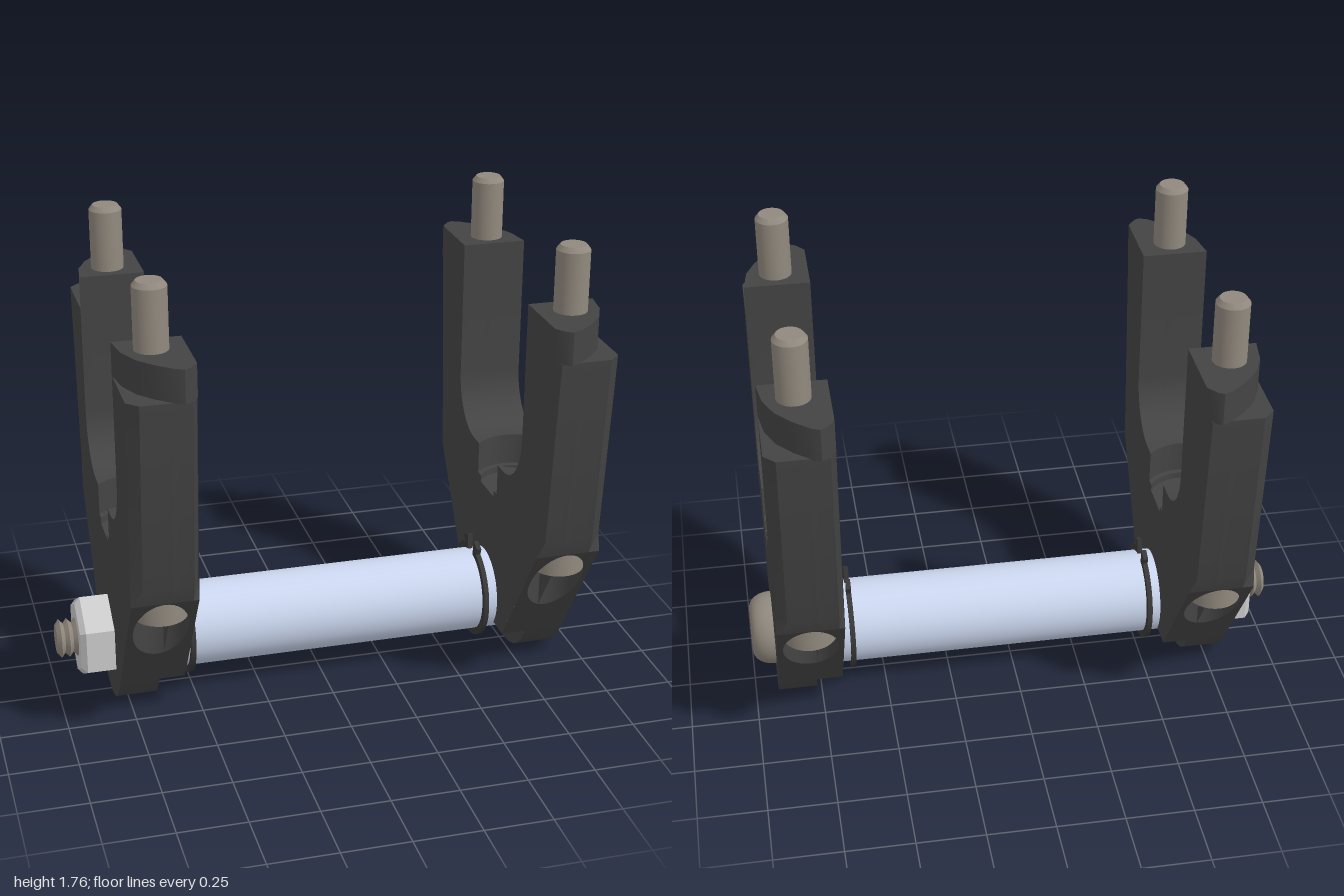
import * as THREE from 'three';
import { toCreasedNormals } from 'three/addons/utils/BufferGeometryUtils.js';

const mat = (color, side = THREE.FrontSide) => new THREE.MeshStandardMaterial({ color, side });
const BLACK = mat(0x444444), BLACK2 = mat(0x444444, THREE.DoubleSide), STEEL = mat(0x91897e);
const NUT = mat(0xc0c0c0), TUBE = mat(0xcad6ee), CLIP = mat(0x383838);
const AXLE_Y = 0.24, HALF = 0.12, BOLT_Z = 0.437, BORE = 0.1;
const slopeY = z => 0.11 + 1.5 * (z - 0.2);

function add(parent, name, geo, material, x = 0, y = 0, z = 0) {
  const m = new THREE.Mesh(geo, material);
  m.name = name;
  m.position.set(x, y, z);
  parent.add(m);
  return m;
}
const creased = (geo, angle = 0.5) => toCreasedNormals(geo, angle);
const lathe = (pts, n = 40) => creased(new THREE.LatheGeometry(pts.map(p => new THREE.Vector2(...p)), n));
const poly = pts => new THREE.Shape(pts.map(p => new THREE.Vector2(...p)));
function ring(n, r) {
  return Array.from({ length: n }, (_, i) => [r * Math.cos(i / n * 2 * Math.PI), r * Math.sin(i / n * 2 * Math.PI)]);
}
// Disc with a hexagonal socket, its open face at y = 0, its body below
function socketDisc(r, hexR, depth) {
  const s = poly(ring(40, r));
  s.holes.push(poly(ring(6, hexR)));
  const g = new THREE.ExtrudeGeometry(s, { depth, bevelEnabled: false });
  return creased(g.translate(0, 0, -depth).rotateX(-Math.PI / 2));
}

// Side outline of the fork plate as (z, y)
function forkOutline(cut) {
  const half = [];
  if (!cut) {
    for (let i = 0; i <= 9; i++) {
      const a = THREE.MathUtils.degToRad(-87 + 54 * i / 9);
      half.push([0.2385 * Math.cos(a), AXLE_Y + 0.2385 * Math.sin(a)]);
    }
  }
  half.push([0.2233, 0.145], [0.54, 0.62], [0.565, 0.69], [0.637, 1.4], [0.345, 1.4]);
  for (let i = 0; i <= 10; i++) {
    const a = i / 10 * Math.PI / 2;
    half.push([0.165 + 0.18 * Math.cos(a), 1 - 0.2 * Math.sin(a)]);
  }
  half.push([0.106, 0.8], [0.106, 0.68], [0.072, 0.68], [0.072, 0.655]);
  return poly([...half, ...half.map(([z, y]) => [-z, y]).reverse()]);
}

// Plate slab: layers at the given x, round notch, chamfered outer edge, slopes left open
function forkSlab(xs, cut) {
  const n = xs.length - 1;
  const g = new THREE.ExtrudeGeometry(forkOutline(cut), { depth: n, steps: n, bevelEnabled: false });
  const p = g.attributes.position, v = [];
  for (let i = 0; i < p.count; i++) {
    let z = p.getX(i);
    const y = p.getY(i), x = xs[Math.round(p.getZ(i))];
    if (Math.abs(z) < 0.11 && y > 0.65 && y < 0.81) {
      z = Math.sign(z) * Math.sqrt(z * z + HALF * HALF - x * x);
    }
    if (Math.abs(x) === HALF && Math.abs(z) > 0.55 && y > 0.65) z -= Math.sign(z) * 0.04;
    v.push([x, y, z]);
  }
  const out = [];
  for (let i = 0; i < v.length; i += 3) {
    const t = v.slice(i, i + 3), ys = t.map(q => q[1]), tx = t.map(q => q[0]);
    const flat = tx[0] === tx[1] && tx[1] === tx[2];
    const onSlope = t.every(q => q[1] > 0.144 && q[1] < 0.621 && Math.abs(q[2]) > 0.2);
    if (!flat && onSlope && Math.max(...ys) > 0.5) continue;
    out.push(...t.flat());
  }
  const res = new THREE.BufferGeometry();
  res.setAttribute('position', new THREE.Float32BufferAttribute(out, 3));
  return creased(res);
}

// Sloped underside with the bolt bore opening
function slopePanel() {
  const s = poly([[-HALF, 0.2233], [HALF, 0.2233], [HALF, 0.54], [-HALF, 0.54]]);
  s.holes.push(poly(ring(40, BORE).map(([a, b]) => [a, b + BOLT_Z])));
  const g = new THREE.ShapeGeometry(s), p = g.attributes.position;
  for (let i = 0; i < p.count; i++) p.setXYZ(i, p.getX(i), slopeY(p.getY(i)), p.getY(i));
  g.computeVertexNormals();
  return g;
}

// Bore wall, trimmed to the slope
function boreWall() {
  const g = new THREE.CylinderGeometry(BORE, BORE, 1, 40, 1, true), p = g.attributes.position;
  for (let i = 0; i < p.count; i++) {
    const z = p.getZ(i) + BOLT_Z;
    p.setXYZ(i, p.getX(i), p.getY(i) > 0 ? Math.max(0.55, slopeY(z)) : slopeY(z), z);
  }
  return g;
}

function makeFork() {
  const fork = new THREE.Group();
  add(fork, 'forkOuterPlate', forkSlab([0.12, 0.08, 0.05, 0.02, 0, -0.025], false), BLACK);
  add(fork, 'forkInnerPlate', forkSlab([-0.025, -0.05, -0.08, -0.1, -0.12], true), BLACK);
  for (const s of [1, -1]) {
    // Leg top with its curved outer cutaway
    const top = poly([[-0.12, 0.345], [0.12, 0.345], [0.105, 0.45], [0.07, 0.53], [0.02, 0.59],
      [-0.04, 0.642], [-0.07, 0.655], [-0.09, 0.645], [-0.12, 0.605]].map(([x, z]) => [x, z * s]));
    const tg = new THREE.ExtrudeGeometry(top, { depth: 0.121, bevelEnabled: false }).rotateX(Math.PI / 2);
    add(fork, 'legTop', creased(tg), BLACK, 0, 1.52);

    // Underside, bore and leg bolt
    const side = new THREE.Group();
    side.name = 'legBolt';
    side.rotation.y = s > 0 ? 0 : Math.PI;
    fork.add(side);
    add(side, 'slope', slopePanel(), BLACK);
    add(side, 'bore', boreWall(), BLACK2);
    const stud = lathe([[0.06, 1.3], [0.06, 1.742], [0.046, 1.76], [0, 1.76]], 32);
    add(side, 'boltTip', stud, STEEL, 0, 0, 0.44);
    const head = add(side, 'boltHead', socketDisc(0.097, 0.055, 0.06), STEEL, 0, 0.53, BOLT_Z);
    head.rotation.x = Math.PI;
    add(side, 'boltHeadCore', new THREE.CylinderGeometry(0.097, 0.097, 0.08, 40), STEEL, 0, 0.63, BOLT_Z);
  }
  return fork;
}

// Retaining clip with two lugs beside a gap at the top
function clipGeometry() {
  const s = new THREE.Shape(), gap = 0.16, a0 = Math.PI / 2 + gap, a1 = Math.PI * 2.5 - gap;
  s.absarc(0, 0, 0.184, a0 + 0.2, a1 - 0.2, false);
  for (const a of [a1 - 0.2, a1, a0, a0 + 0.2]) {
    const r = a === a1 || a === a0 ? 0.218 : 0.212;
    if (a === a1 - 0.2 || a === a1) s.lineTo(r * Math.cos(a), r * Math.sin(a));
  }
  s.lineTo(0.154 * Math.cos(a1), 0.154 * Math.sin(a1));
  s.absarc(0, 0, 0.154, a1, a0, true);
  s.lineTo(0.218 * Math.cos(a0), 0.218 * Math.sin(a0));
  s.lineTo(0.212 * Math.cos(a0 + 0.2), 0.212 * Math.sin(a0 + 0.2));
  const g = new THREE.ExtrudeGeometry(s, { depth: 0.018, bevelEnabled: false, curveSegments: 48 });
  return creased(g.translate(0, 0, -0.009).rotateY(Math.PI / 2));
}

export function createModel() {
  const model = new THREE.Group();
  // Two fork plates, facing each other
  for (const [name, x, turn] of [['leftFork', 0.795, 0], ['rightFork', -0.68, Math.PI]]) {
    const fork = makeFork();
    fork.name = name;
    fork.position.x = x;
    fork.rotation.y = turn;
    model.add(fork);
  }

  // Parts along the axle: local y runs toward +x
  const axle = new THREE.Group();
  axle.name = 'axle';
  axle.position.y = AXLE_Y;
  axle.rotation.z = -Math.PI / 2;
  model.add(axle);
  add(axle, 'spacerTube', new THREE.CylinderGeometry(0.158, 0.158, 1.42, 48), TUBE, 0, 0.06);

  // Button head with hexagonal socket
  const dome = [[0.138, 0.91], [0.138, 0.918]];
  for (let i = 1; i <= 8; i++) {
    const t = i / 8;
    dome.push([0.138 - 0.063 * t * t, 0.918 + 0.082 * Math.sin(t * Math.PI / 2)]);
  }
  add(axle, 'buttonHead', lathe(dome), STEEL);
  add(axle, 'buttonSocket', socketDisc(0.075, 0.06, 0.06), STEEL, 0, 1.0);
  add(axle, 'socketFloor', new THREE.CylinderGeometry(0.075, 0.075, 0.03, 40), STEEL, 0, 0.925);

  // Threaded end
  const thread = [[0, -1], [0.052, -1]];
  for (let i = 0; i < 5; i++) thread.push([0.072, -0.985 + i * 0.03], [0.055, -0.97 + i * 0.03]);
  add(axle, 'threadedEnd', lathe(thread, 32), STEEL);

  // Hexagonal nut with a chamfered outer face
  const nut = new THREE.Group();
  nut.name = 'nut';
  axle.add(nut);
  const hexNut = new THREE.CylinderGeometry(0.162, 0.162, 0.105, 6).rotateY(Math.PI / 2);
  add(nut, 'nutBody', creased(hexNut), NUT, 0, -0.8525);
  const collar = new THREE.CylinderGeometry(0.162, 0.138, 0.02, 6).rotateY(Math.PI / 2);
  add(nut, 'nutChamfer', creased(collar, 0.2), NUT, 0, -0.915);

  // Retaining clips
  for (const x of [-0.515, 0.625]) add(model, 'retainingClip', clipGeometry(), CLIP, x, AXLE_Y);
  return model;
}
